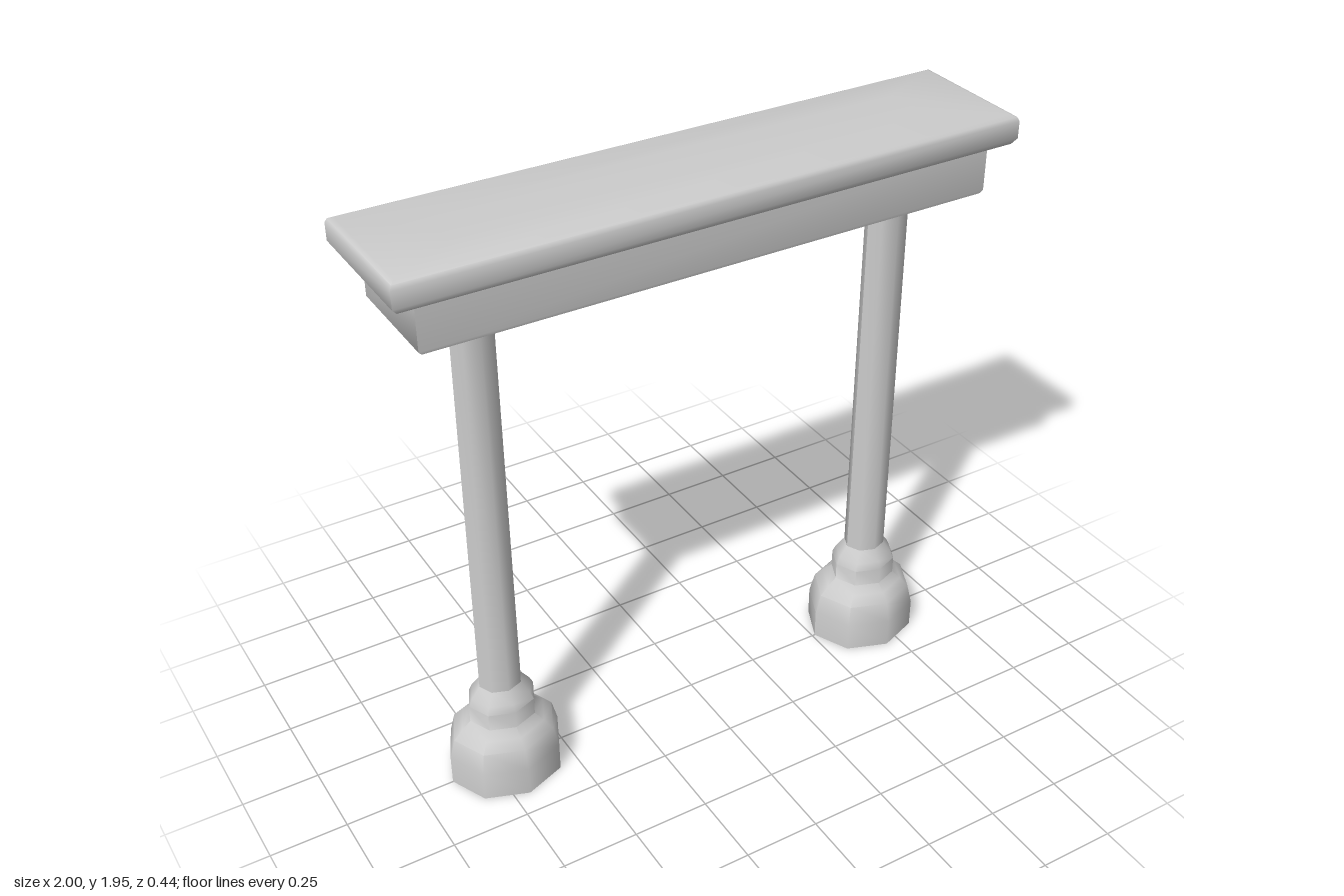
import * as THREE from 'three';
import { toCreasedNormals } from 'three/addons/utils/BufferGeometryUtils.js';

const material = new THREE.MeshStandardMaterial({ color: 0xcccccc });

// Rectangular block lofted through rings of [half width, half depth, y], bottom to top, capped
function loftBlock(rings) {
  const corners = [[1, 1], [1, -1], [-1, -1], [-1, 1]];
  const positions = [];
  const index = [0, 2, 1, 0, 3, 2];
  rings.forEach(([w, d, y], r) => {
    for (const [sx, sz] of corners) positions.push(sx * w, y, sz * d);
    if (r === 0) return;
    for (let i = 0; i < 4; i++) {
      const a = (r - 1) * 4 + i, b = (r - 1) * 4 + (i + 1) % 4;
      index.push(a, b, b + 4, a, b + 4, a + 4);
    }
  });
  const t = (rings.length - 1) * 4;
  index.push(t, t + 1, t + 2, t, t + 2, t + 3);
  const geometry = new THREE.BufferGeometry();
  geometry.setAttribute('position', new THREE.Float32BufferAttribute(positions, 3));
  geometry.setIndex(index);
  return toCreasedNormals(geometry, 0.85);
}

function addMesh(group, name, geometry) {
  const mesh = new THREE.Mesh(geometry, material);
  mesh.name = name;
  group.add(mesh);
  return mesh;
}

// Eight-sided turned part, slightly narrower from front to back
function turned(points) {
  const geometry = new THREE.LatheGeometry(points.map(([r, y]) => new THREE.Vector2(r, y)), 8);
  geometry.scale(1, 1, 0.9);
  return toCreasedNormals(geometry, 0.85);
}

function createColumn() {
  const column = new THREE.Group();
  addMesh(column, 'columnBase', turned([
    [0, 0], [0.19, 0], [0.19, 0.1], [0.172, 0.17], [0.142, 0.2],
    [0.112, 0.225], [0.112, 0.285], [0.1, 0.31], [0.07, 0.35],
  ]));
  addMesh(column, 'columnShaft', turned([[0.071, 0.34], [0.068, 1.64]]));
  addMesh(column, 'columnCapital', turned([
    [0.068, 1.63], [0.075, 1.65], [0.096, 1.665], [0.096, 1.7],
  ]));
  return column;
}

export function createModel() {
  const model = new THREE.Group();
  model.name = 'columnPortal';

  // Pair of columns
  for (const side of [-1, 1]) {
    const column = createColumn();
    column.name = side > 0 ? 'leftColumn' : 'rightColumn';
    column.position.x = side * 0.7;
    model.add(column);
  }

  // Beam resting on the columns
  addMesh(model, 'beam', loftBlock([
    [0.915, 0.172, 1.69], [0.925, 0.175, 1.7], [0.925, 0.175, 1.85],
  ]));

  // Overhanging cornice slab with rounded edges and a barely crowned top
  addMesh(model, 'corniceSlab', loftBlock([
    [0.955, 0.18, 1.835], [0.985, 0.21, 1.85], [1, 0.22, 1.868],
    [1, 0.22, 1.922], [0.994, 0.214, 1.935], [0.98, 0.2, 1.941], [0.75, 0.08, 1.95],
  ]));

  return model;
}
